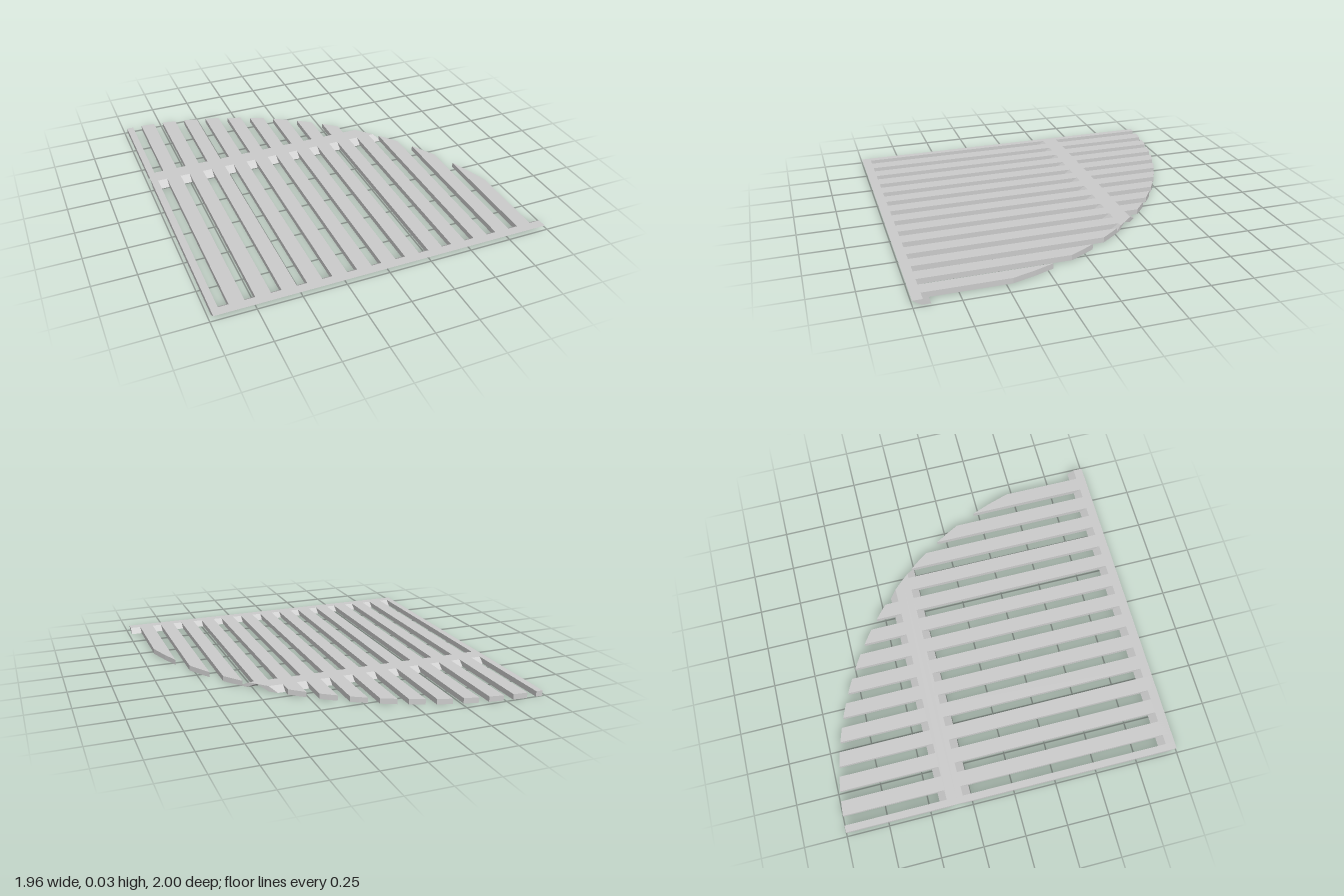
import * as THREE from 'three';
import { ConvexGeometry } from 'three/addons/geometries/ConvexGeometry.js';

const H = 0.032;       // thickness
const LEFT = -0.98;    // straight side edge
const RX = 1.968, RZ = 2; // radii of the curved edge, centred on the corner (LEFT, z = 1)
const SEAM = -0.338;   // where the two panels meet at the top

const arcZ = x => 1 - RZ * Math.sqrt(Math.max(0, 1 - ((x - LEFT) / RX) ** 2));
const arcX = z => LEFT + RX * Math.sqrt(Math.max(0, 1 - ((1 - z) / RZ) ** 2));

export function createModel() {
  const model = new THREE.Group();
  const material = new THREE.MeshStandardMaterial({ color: 0xcccccc, flatShading: true });

  // Solid between cross-sections, each point being [x, y, z]
  function addSolid(parent, name, points) {
    const mesh = new THREE.Mesh(new ConvexGeometry(points.map(p => new THREE.Vector3(...p))), material);
    mesh.name = name;
    parent.add(mesh);
  }

  // Bar along x with a slanted profile of [z, y], trimmed by the curved edge
  function addBar(parent, name, profile) {
    const points = [];
    for (const [z, y] of profile) {
      points.push([LEFT, y, z], [Math.min(0.98, arcX(z)), y, z]);
    }
    addSolid(parent, name, points);
  }

  const frontPanel = new THREE.Group();
  frontPanel.name = 'frontPanel';
  const backPanel = new THREE.Group();
  backPanel.name = 'backPanel';
  model.add(frontPanel, backPanel);

  // Rails: one along the front edge, two meeting at the seam over a V groove
  addBar(frontPanel, 'frontRail', [[1, H], [0.945, H], [0.905, 0], [0.952, 0]]);
  addBar(frontPanel, 'frontSeamRail', [[SEAM, H], [-0.298, H], [-0.25, 0], [-0.285, 0]]);
  addBar(backPanel, 'backSeamRail', [[SEAM, H], [-0.395, H], [-0.437, 0], [-0.395, 0]]);

  // Slats: a half-width one on the straight side, then evenly spaced
  const slats = [[LEFT, -0.94]];
  for (let i = 0; i < 13; i++) {
    const x = -0.883 + i * 0.1428;
    slats.push([x, x + 0.085]);
  }

  for (const [x0, x1] of slats) {
    const front = [], back = [];
    for (const x of [x0, (x0 + x1) / 2, x1]) {
      const end = arcZ(x);
      front.push([x, H, 1], [x, 0, 0.952], [x, H, Math.max(SEAM, end)], [x, 0, Math.max(-0.285, end)]);
      if (end < SEAM) {
        back.push([x, H, SEAM], [x, H, end], [x, 0, Math.min(-0.395, end)]);
        if (end < -0.395) back.push([x, 0, -0.395], [x, 0, end]);
      }
    }
    addSolid(frontPanel, 'frontSlat', front);
    // Past the curve's crossing the seam rail already fills the back panel
    if (arcZ(x1) < -0.44) addSolid(backPanel, 'backSlat', back);
  }
  return model;
}
